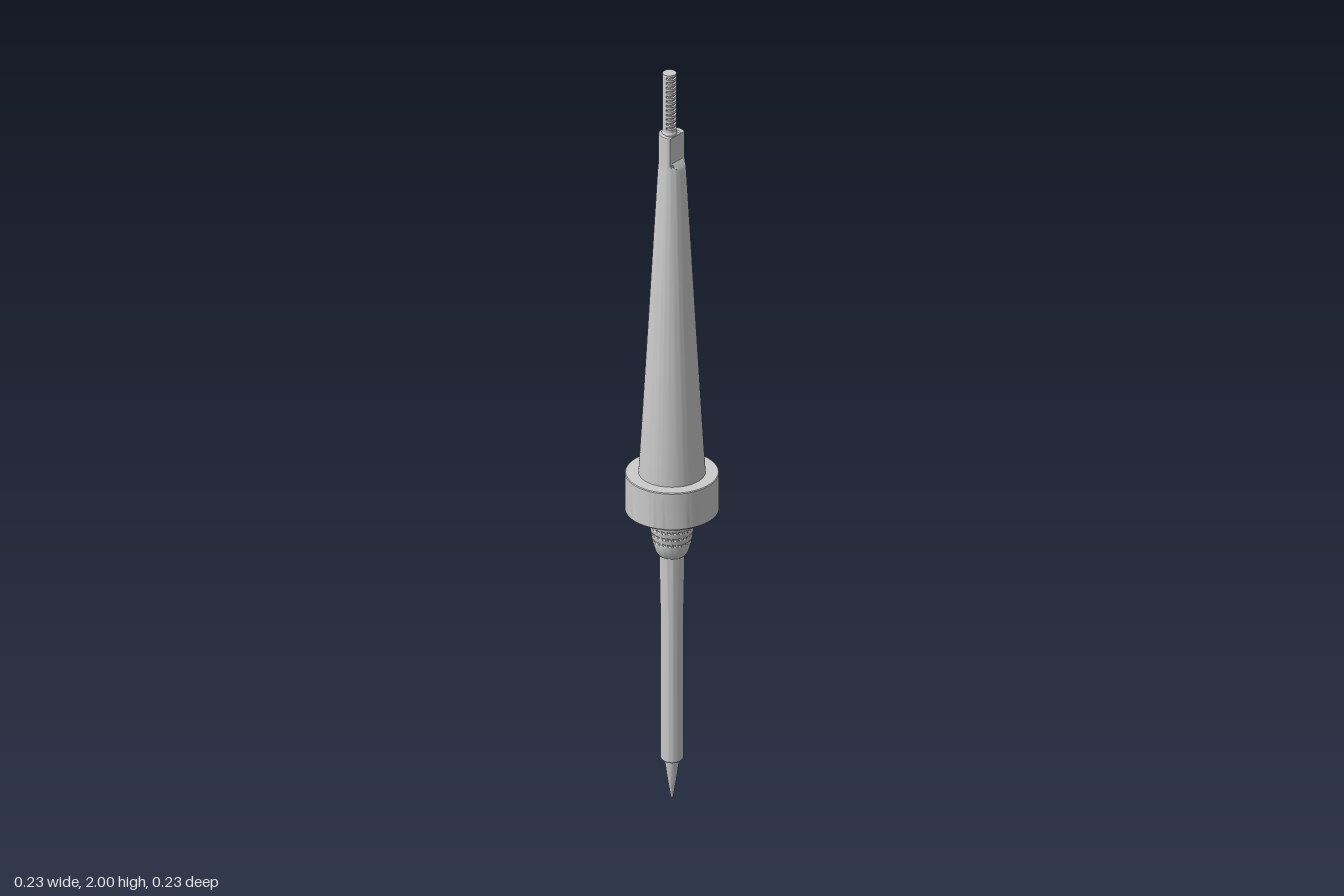
import * as THREE from 'three';
import { toCreasedNormals, mergeVertices } from 'three/addons/utils/BufferGeometryUtils.js';

const material = new THREE.MeshStandardMaterial({ color: 0xcccccc });

// Turned part from [radius, y] pairs, listed bottom to top; rule may move vertices
function turned(name, profile, rule, segments = 72) {
  let geo = new THREE.LatheGeometry(profile.map(([r, y]) => new THREE.Vector2(r, y)), segments);
  if (rule) {
    const pos = geo.attributes.position, v = new THREE.Vector3();
    for (let i = 0; i < pos.count; i++) {
      rule(v.fromBufferAttribute(pos, i));
      pos.setXYZ(i, v.x, v.y, v.z);
    }
  }
  geo.deleteAttribute('normal');
  geo.deleteAttribute('uv');
  geo = toCreasedNormals(mergeVertices(geo, 1e-5), 0.45);
  const mesh = new THREE.Mesh(geo, material);
  mesh.name = name;
  return mesh;
}

export function createModel() {
  const group = new THREE.Group();
  group.name = 'solderingIron';

  // Pointed bit
  group.add(turned('tip', [[0, 0], [0.003, 0.006], [0.011, 0.055], [0.017, 0.1], [0.019, 0.12], [0, 0.12]]));

  // Heater tube with chamfered lower rim and slight flare at the top
  group.add(turned('heaterTube', [
    [0, 0.11], [0.024, 0.11], [0.028, 0.116], [0.028, 0.5], [0.031, 0.66], [0.031, 0.72], [0, 0.72],
  ]));

  // Stepped ferrule under the knurled band
  group.add(turned('ferrule', [
    [0, 0.678], [0.034, 0.678], [0.04, 0.686], [0.047, 0.71], [0.047, 0.72], [0, 0.72],
  ]));

  // Knurled band: rows of small dimples pressed into a tapered sleeve
  const rows = 5, y0 = 0.712, y1 = 0.805, steps = rows * 4;
  const band = [[0, y0]];
  for (let i = 0; i <= steps; i++) {
    const t = i / steps;
    band.push([0.048 + 0.009 * Math.min(1, t * 1.6), y0 + (y1 - y0) * t]);
  }
  band.push([0, y1]);
  group.add(turned('knurledBand', band, (v) => {
    const row = (v.y - y0) / (y1 - y0) * rows;
    const column = Math.round(Math.atan2(v.x, v.z) / (Math.PI * 2) * 96 + 96);
    if (Math.abs(row % 1 - 0.5) < 0.1 && column % 4 < 2) {
      v.x *= 0.95;
      v.z *= 0.95;
    }
  }, 96));

  // Finger guard
  group.add(turned('guard', [
    [0, 0.794], [0.104, 0.794], [0.106, 0.802], [0.115, 0.802], [0.115, 0.9], [0.113, 0.902], [0, 0.902],
  ], null, 96));

  // Tapered handle; the neck is cut flat on the front with a short ramp
  const flat = 0.017;
  group.add(turned('handle', [
    [0, 0.89], [0.082, 0.89], [0.082, 0.902], [0.058, 1.32], [0.035, 1.735], [0.034, 1.745],
    [0.0335, 1.752], [0.033, 1.765], [0.033, 1.834], [0.032, 1.836], [0.021, 1.836], [0.019, 1.832], [0, 1.832],
  ].map(([r, y]) => [r, y]), (v) => {
    const ramp = THREE.MathUtils.clamp((1.765 - v.y) / 0.03, 0, 1);
    if (v.y > 1.736) v.z = Math.min(v.z, flat + 0.018 * Math.sqrt(ramp));
  }, 96));

  // Cable strain relief: grooved in front, plain behind
  const outer = 0.017, inner = 0.013, ribs = 12, start = 1.85, pitch = (2 - start) / ribs;
  const relief = [[0, 1.82], [0.019, 1.82], [0.019, 1.838], [outer, 1.842]];
  for (let i = 0; i < ribs; i++) {
    const y = start + i * pitch;
    relief.push([outer, y], [inner, y + 0.001], [inner, y + pitch * 0.4], [outer, y + pitch * 0.4 + 0.001]);
  }
  relief.push([outer, 2], [0, 2]);
  const cable = turned('strainRelief', relief, (v) => {
    const r = Math.hypot(v.x, v.z);
    if (v.z < 0.003 && r > 0.001 && r < outer) {
      v.x *= outer / r;
      v.z *= outer / r;
    }
  }, 48);
  cable.position.z = -0.008;
  group.add(cable);

  return group;
}
